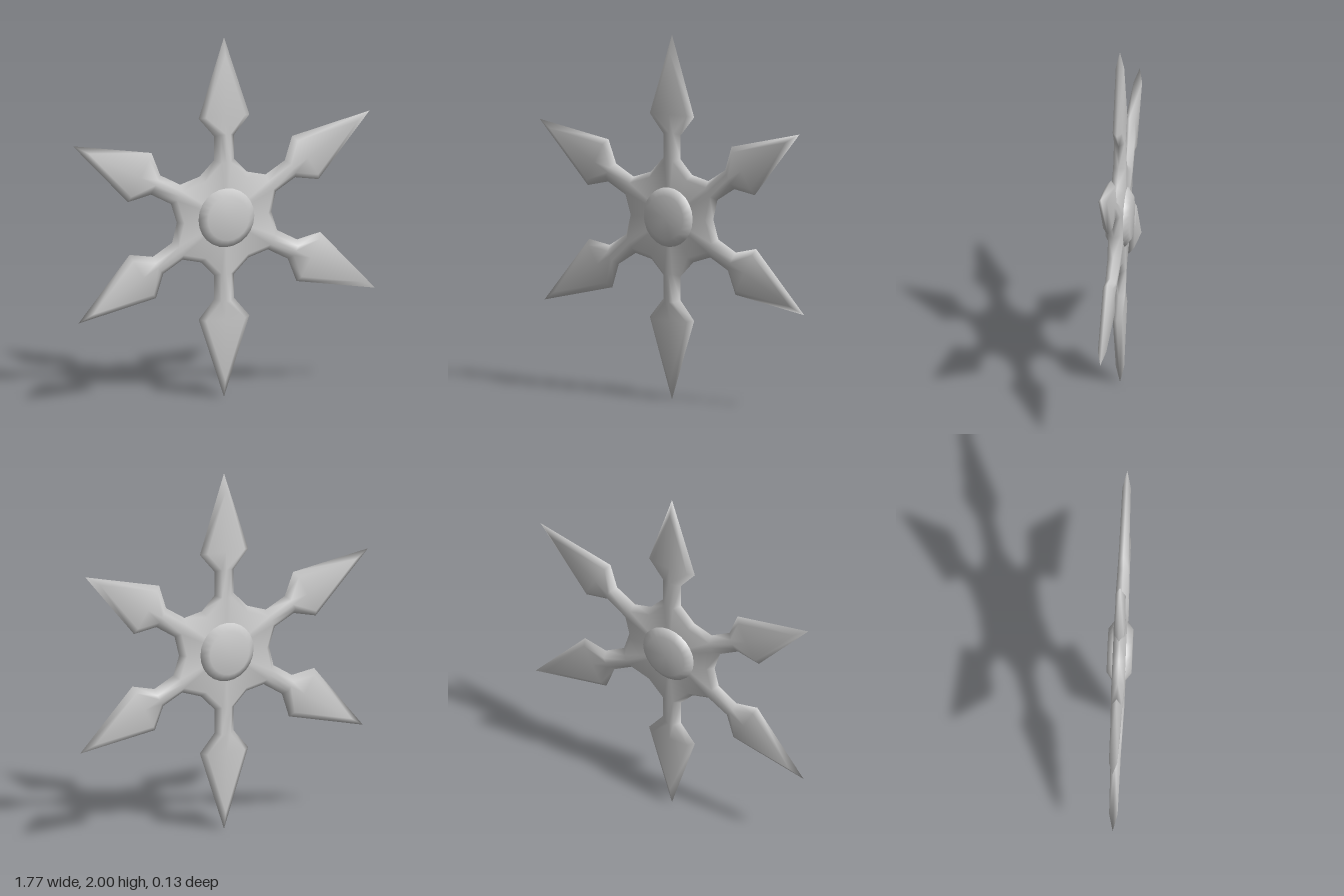
import * as THREE from 'three';

const rad = THREE.MathUtils.degToRad;
// Arm directions, counterclockwise
const ANGLES = [-90, -27.8, 31.5, 90, 152.2, 211.5].map(rad);
// Half an arm: distance from centre, half width, half thickness
const STATIONS = [
  [0.32, 0.058, 0.034],  // root
  [0.452, 0.058, 0.029], // neck
  [0.557, 0.148, 0.026], // shoulder
];
const TIP = 0.998, VALLEY = 0.276, BEVEL = 0.03, BODY = 0.035;
const PER_ARM = 8;

// Outline of the star: root, neck, shoulder, tip, shoulder, neck, root, valley
function makeOutline() {
  const points = [];
  ANGLES.forEach((angle, i) => {
    const add = (u, v, z) => {
      const p = new THREE.Vector2(u, v).rotateAround(new THREE.Vector2(), angle);
      points.push({ p, z });
    };
    STATIONS.forEach(([u, w, z]) => add(u, -w, z));
    add(TIP, 0, 0.023);
    [...STATIONS].reverse().forEach(([u, w, z]) => add(u, w, z));
    const next = i < 5 ? ANGLES[i + 1] : ANGLES[0] + Math.PI * 2;
    const half = (next - angle) / 2;
    add(VALLEY * Math.cos(half), VALLEY * Math.sin(half), BODY);
  });
  return points;
}

// Move each corner inward so that every edge shifts by the bevel width
function insetOutline(points) {
  const n = points.length;
  const normal = (a, b) => new THREE.Vector2(b.y - a.y, a.x - b.x).normalize();
  return points.map(({ p, z }, i) => {
    const n1 = normal(points[(i + n - 1) % n].p, p);
    const n2 = normal(p, points[(i + 1) % n].p);
    const shift = n1.clone().add(n2).multiplyScalar(-BEVEL / (1 + n1.dot(n2)));
    return { p: p.clone().add(shift), z };
  });
}

function makeStarGeometry() {
  const outline = makeOutline();
  const inner = insetOutline(outline);
  const n = outline.length;
  const positions = [], index = [];
  const vertex = (p, z) => positions.push(p.x, p.y, z) / 3 - 1;
  const rim = outline.map(({ p }) => vertex(p, 0));

  for (const side of [1, -1]) {
    const tri = (a, b, c) => (side > 0 ? index.push(a, b, c) : index.push(a, c, b));
    const quad = (a, b, c, d) => { tri(a, b, c); tri(a, c, d); };
    const face = inner.map(({ p, z }) => vertex(p, z * side));
    const centre = vertex(new THREE.Vector2(), BODY * side);

    // Bevel from the sharp rim to the face
    for (let i = 0; i < n; i++) {
      const j = (i + 1) % n;
      quad(rim[i], rim[j], face[j], face[i]);
    }
    // Arms with a soft midline, and their share of the body
    for (let k = 0; k < n; k += PER_ARM) {
      const right = [0, 1, 2].map((s) => face[k + s]);
      const left = [6, 5, 4].map((s) => face[k + s]);
      const mid = [0, 1, 2].map((s) => {
        const a = inner[k + s], b = inner[k + 6 - s];
        return vertex(a.p.clone().lerp(b.p, 0.5), (a.z + 0.002) * side);
      });
      for (let s = 0; s < 2; s++) {
        quad(right[s], right[s + 1], mid[s + 1], mid[s]);
        quad(mid[s], mid[s + 1], left[s + 1], left[s]);
      }
      tri(right[2], face[k + 3], mid[2]);
      tri(mid[2], face[k + 3], left[2]);
      tri(centre, right[0], mid[0]);
      tri(centre, mid[0], left[0]);
      tri(centre, left[0], face[k + 7]);
      tri(centre, face[k + 7], face[(k + PER_ARM) % n]);
    }
  }
  const geometry = new THREE.BufferGeometry();
  geometry.setAttribute('position', new THREE.Float32BufferAttribute(positions, 3));
  geometry.setIndex(index);
  geometry.computeVertexNormals();
  return geometry;
}

export function createModel() {
  const group = new THREE.Group();
  group.name = 'throwingStar';
  const material = new THREE.MeshStandardMaterial({ color: 0xcccccc });

  const star = new THREE.Mesh(makeStarGeometry(), material);
  star.name = 'bladeBody';
  star.position.y = 1;

  // Round boss through the centre, chamfered on both faces
  const profile = [[0, -0.067], [0.12, -0.067], [0.163, -0.036], [0.163, 0.036], [0.12, 0.067], [0, 0.067]]
    .map(([r, y]) => new THREE.Vector2(r, y));
  const boss = new THREE.Mesh(new THREE.LatheGeometry(profile, 24), material);
  boss.name = 'centreBoss';
  boss.rotation.x = Math.PI / 2;
  boss.position.y = 1.003;

  group.add(star, boss);
  return group;
}
